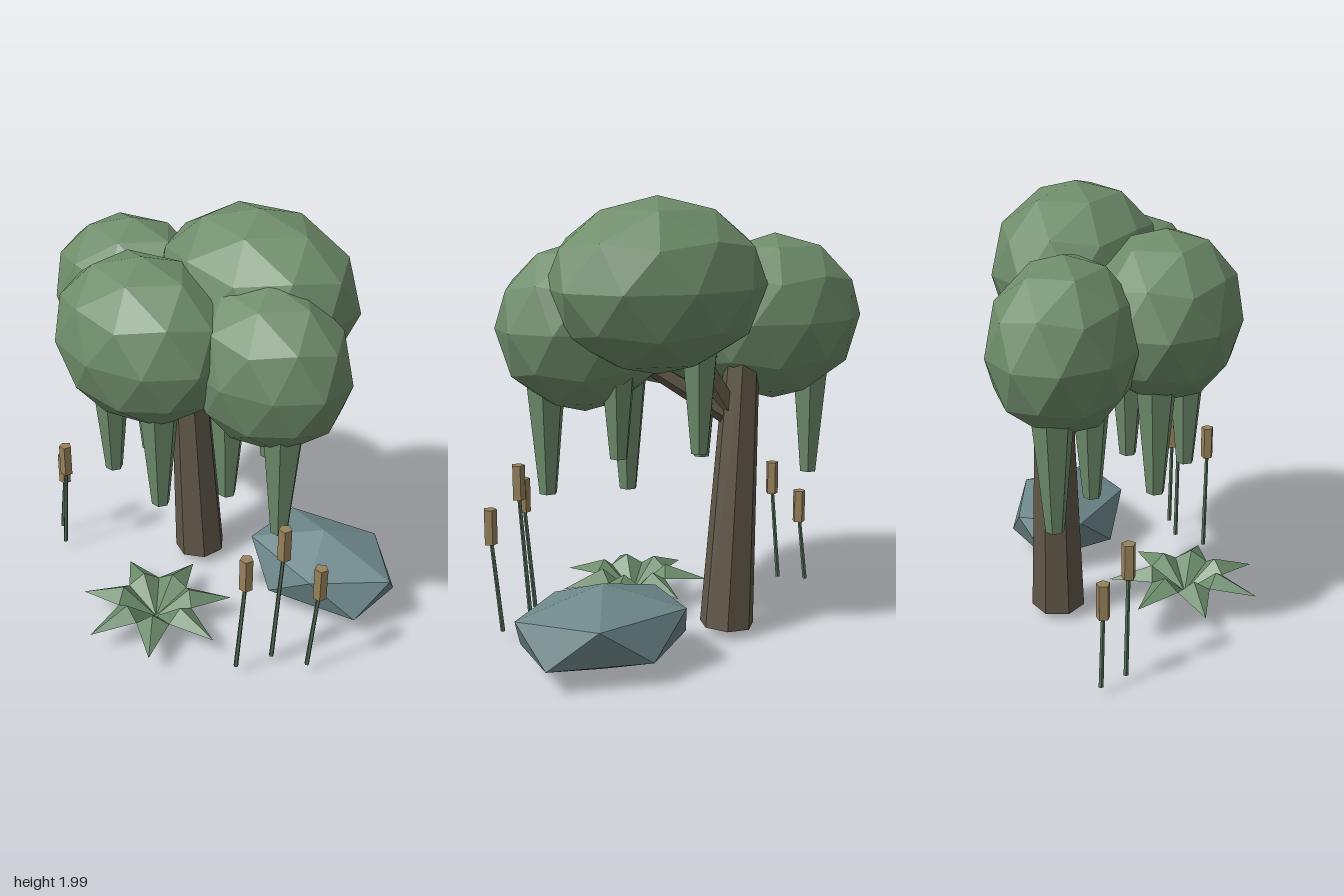
import * as THREE from 'three';

const flat = (name, color, side = THREE.FrontSide) => {
  const m = new THREE.MeshStandardMaterial({ color, flatShading: true, side });
  m.name = name;
  return m;
};

export function createModel() {
  const model = new THREE.Group();
  model.name = 'swampTree';

  const leafGreen = flat('leafGreen', 0x6e8c6a);
  const vineGreen = flat('vineGreen', 0x6c8a6a);
  const bark = flat('bark', 0x605748);
  const stone = flat('stone', 0x6e888b);
  const stemGreen = flat('stemGreen', 0x55705a);
  const reedBrown = flat('reedBrown', 0x97825b);
  const fernGreen = flat('fernGreen', 0x6b8c6b, THREE.DoubleSide);

  const add = (name, geometry, material, parent = model) => {
    const mesh = new THREE.Mesh(geometry, material);
    mesh.name = name;
    parent.add(mesh);
    return mesh;
  };

  // Faceted ball with a corner straight up, stretched along each axis
  const ball = (name, detail, center, radii, material) => {
    const g = new THREE.IcosahedronGeometry(1, detail);
    g.rotateX(-Math.atan((1 + Math.sqrt(5)) / 2));
    g.rotateY(Math.PI / 2);
    g.scale(...radii);
    add(name, g, material).position.set(...center);
  };

  // Tapered limb between two points
  const limb = (name, from, to, r0, r1, sides, material, parent = model) => {
    const a = new THREE.Vector3(...from), b = new THREE.Vector3(...to);
    const dir = b.clone().sub(a);
    const mesh = add(name, new THREE.CylinderGeometry(r1, r0, dir.length(), sides), material, parent);
    mesh.position.copy(a).add(b).multiplyScalar(0.5);
    mesh.quaternion.setFromUnitVectors(new THREE.Vector3(0, 1, 0), dir.normalize());
    return mesh;
  };

  // Trunk leaning slightly to the right
  limb('trunk', [-0.18, 0.05, -0.26], [-0.255, 1.28, -0.24], 0.126, 0.08, 7, bark);

  // Canopy clumps, each with a branch and two hanging vines
  const clumps = [
    { c: [-0.48, 1.443, -0.122], r: [0.427, 0.38, 0.322] },
    { c: [-0.085, 1.48, 0.222], r: [0.44, 0.38, 0.341] },
    { c: [0.41, 1.435, -0.018], r: [0.396, 0.378, 0.308] },
    { c: [0.16, 1.62, -0.243], r: [0.495, 0.38, 0.383] },
  ];
  const fork = new THREE.Vector3(-0.235, 1.0, -0.24);
  for (const { c, r } of clumps) {
    ball('canopy', 1, c, r, leafGreen);
    const end = fork.clone().lerp(new THREE.Vector3(...c), 0.8);
    limb('branch', fork.toArray(), end.toArray(), 0.05, 0.032, 5, bark);
    for (const s of [-1, 1]) {
      const x = c[0] - 0.025 + s * 0.181, z = c[2] + 0.038 + s * 0.032;
      limb('vine', [x, c[1] - 0.753, z], [x, c[1] - 0.153, z], 0.041, 0.1, 6, vineGreen).rotateY(Math.PI / 6);
    }
  }

  // Boulder
  ball('rock', 0, [0.492, 0.2, -0.405], [0.438, 0.193, 0.31], stone);

  // Fern: seven folded leaves around a low centre
  const leaf = new THREE.BufferGeometry();
  leaf.setAttribute('position', new THREE.Float32BufferAttribute([
    0, 0, 0, // base
    0.16, 0.14, 0, // ridge
    0.16, 0.09, 0.077, // edges
    0.16, 0.09, -0.077,
    0.365, 0.064, 0, // tip
  ], 3));
  leaf.setIndex([0, 2, 1, 0, 1, 3, 1, 2, 4, 1, 4, 3]);
  leaf.computeVertexNormals();
  const fern = new THREE.Group();
  fern.name = 'fern';
  fern.position.set(0.045, 0.051, 0.31);
  for (let i = 0; i < 7; i++) {
    add('fernLeaf', leaf, fernGreen, fern).rotation.y = -(i / 7) * Math.PI * 2;
  }
  model.add(fern);

  // Reeds: head x, head bottom y, z
  const reeds = [
    [-0.783, 0.36, 0.115],
    [-0.672, 0.5, 0.197],
    [0.597, 0.53, 0.312],
    [0.674, 0.64, 0.15],
    [0.83, 0.47, 0.085],
  ];
  for (const [x, y, z] of reeds) {
    const reed = new THREE.Group();
    reed.name = 'reed';
    limb('reedStem', [x - 0.045, 0.05, z], [x, y + 0.05, z], 0.011, 0.009, 5, stemGreen, reed);
    const head = add('reedHead', new THREE.CylinderGeometry(0.031, 0.031, 0.16, 5), reedBrown, reed);
    head.position.set(x, y + 0.08, z);
    head.rotation.y = Math.PI;
    model.add(reed);
  }

  return model;
}
